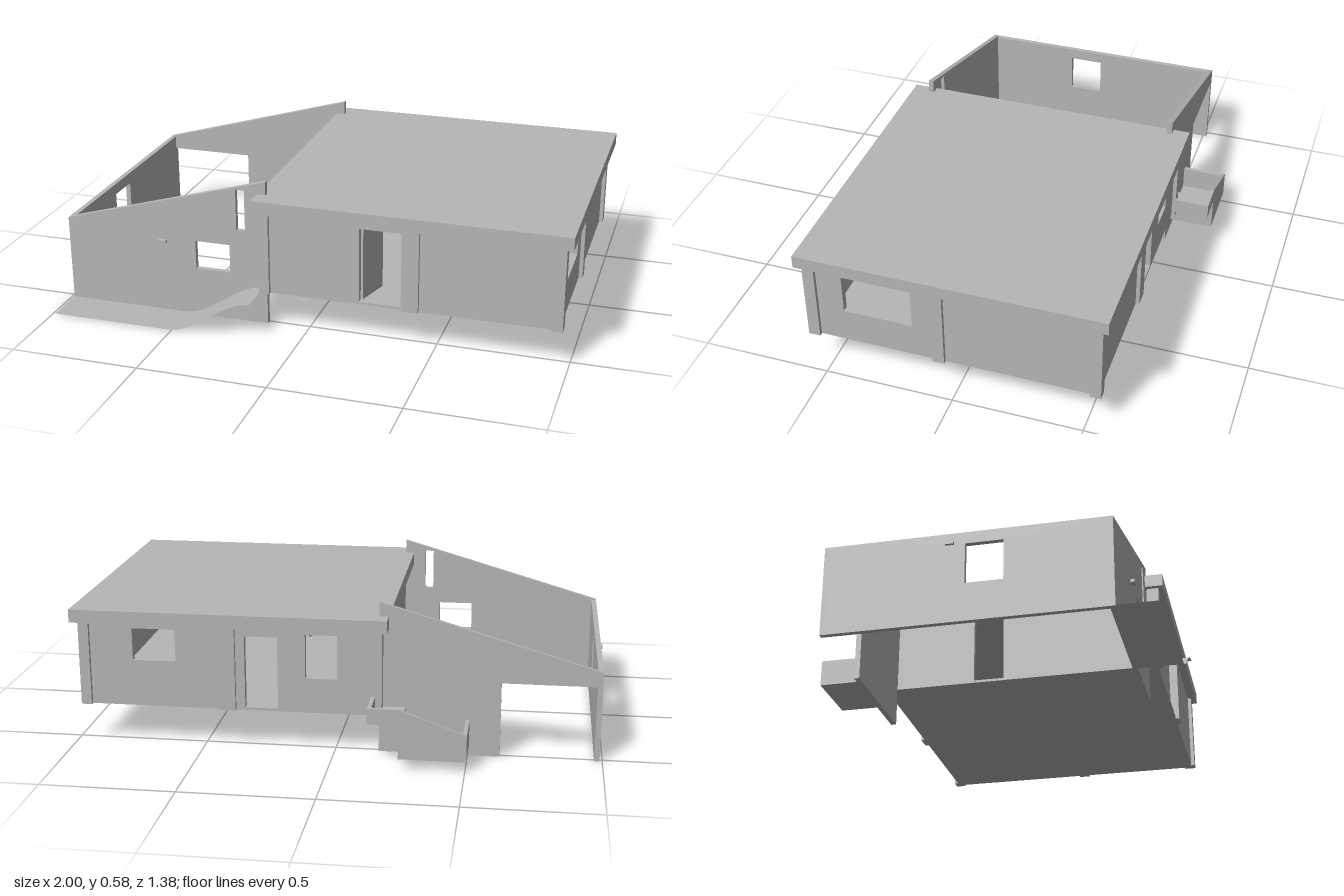
import * as THREE from 'three';

export function createModel() {
  const house = new THREE.Group();
  house.name = 'house';
  const plaster = new THREE.MeshStandardMaterial({ color: 0xb6b6b6 });
  plaster.name = 'grey plaster';
  const sheet = new THREE.MeshStandardMaterial({ color: 0xb6b6b6, side: THREE.DoubleSide });
  sheet.name = 'grey ground';

  const add = (name, geometry, material = plaster) => {
    const mesh = new THREE.Mesh(geometry, material);
    mesh.name = name;
    house.add(mesh);
    return mesh;
  };
  // Box given by its limits on each axis
  const box = (name, x0, x1, y0, y1, z0, z1) => {
    const mesh = add(name, new THREE.BoxGeometry(x1 - x0, y1 - y0, z1 - z0));
    mesh.position.set((x0 + x1) / 2, (y0 + y1) / 2, (z0 + z1) / 2);
    return mesh;
  };
  const rect = (u0, u1, v0, v1) => [[u0, v0], [u1, v0], [u1, v1], [u0, v1]];
  const points = (list) => list.map(([u, v]) => new THREE.Vector2(u, v));
  const panel = (outline, openings, depth) => {
    const shape = new THREE.Shape(points(outline));
    for (const o of openings) shape.holes.push(new THREE.Path(points(rect(...o))));
    return new THREE.ExtrudeGeometry(shape, { depth, bevelEnabled: false });
  };
  // Wall running along x, filling z0..z1
  const wallX = (name, outline, openings, z0, z1) => {
    add(name, panel(outline, openings, z1 - z0)).position.z = z0;
  };
  // Wall running along z, filling x0..x1; outline is in (z, y)
  const wallZ = (name, outline, openings, x0, x1) => {
    const mesh = add(name, panel(outline, openings, x1 - x0));
    mesh.rotation.y = -Math.PI / 2;
    mesh.position.x = x1;
  };

  // Main block: roof, floor and four walls
  const base = 0.15, eave = 0.48;
  box('roofSlab', -0.2, 1, eave, 0.53, -0.58, 0.59);
  box('floorSlab', -0.165, 0.96, base, 0.16, -0.54, 0.555);
  wallX('frontWall', rect(-0.165, 0.96, base, eave), [[0.21, 0.375, 0.155, 0.455]], 0.53, 0.555);
  wallX('backWall', rect(-0.165, 0.96, base, eave), [
    [0.605, 0.77, 0.33, 0.455],
    [0.215, 0.34, 0.155, 0.44],
    [-0.01, 0.11, 0.285, 0.455],
  ], -0.54, -0.515);
  wallZ('sideWall', rect(-0.515, 0.53, base, eave), [[0.16, 0.425, 0.285, 0.455]], 0.935, 0.96);
  wallZ('innerSideWall', rect(-0.515, 0.53, base, eave), [[-0.18, -0.06, 0.155, 0.44]], -0.165, -0.14);

  // Open door leaf, swung inwards
  const leaf = box('doorLeaf', 0.228, 0.238, 0.16, 0.455, 0.39, 0.53);
  leaf.rotation.y = -0.28;

  // Pilasters standing proud of the walls
  for (const [x0, x1] of [[-0.18, -0.14], [0.375, 0.44], [0.935, 0.975]]) {
    box('frontPilaster', x0, x1, base, eave, 0.525, 0.57);
    box('backPilaster', x0, x1, base, eave, -0.555, -0.515);
  }
  box('sidePilaster', 0.94, 0.975, base, eave, 0.035, 0.08);

  // Roofless wing with raking walls
  const low = 0.345, high = 0.583;
  wallX('wingFrontWall', [[-0.99, 0], [-0.165, 0], [-0.165, high], [-0.99, low]], [
    [-0.455, -0.315, 0.195, 0.31],
    [-0.285, -0.25, 0.375, 0.54],
  ], 0.5, 0.52);
  wallX('wingBackWall', [
    [-0.99, 0], [-0.97, 0], [-0.97, 0.29], [-0.62, 0.29],
    [-0.62, 0], [-0.165, 0], [-0.165, high], [-0.99, low],
  ], [], -0.515, -0.495);
  wallZ('wingEndWall', rect(-0.495, 0.5, 0, low), [[0, 0.137, 0.145, 0.3]], -0.99, -0.97);

  // Small wall lamps
  box('frontLamp', -0.605, -0.573, 0.29, 0.302, 0.52, 0.535);
  box('endLamp', -1, -0.99, 0.3, 0.312, -0.07, -0.04);

  // Thin strip of ground that is flat, then climbs to floor level
  const ground = new THREE.PlaneGeometry(0.81, 0.165, 30, 1);
  ground.rotateX(-Math.PI / 2);
  ground.translate(-0.585, 0.002, 0.6025);
  const p = ground.attributes.position;
  for (let i = 0; i < p.count; i++) {
    p.setY(i, 0.002 + 0.148 * THREE.MathUtils.smoothstep(p.getX(i), -0.51, -0.18));
  }
  ground.computeVertexNormals();
  add('groundStrip', ground, sheet);

  // Back steps: raised landing and lower well behind a raking parapet
  box('landingFloor', -0.255, -0.14, 0.17, 0.18, -0.69, -0.515);
  box('landingParapet', -0.155, -0.14, 0.18, 0.23, -0.69, -0.54);
  box('wellFloor', -0.505, -0.255, 0.04, 0.05, -0.69, -0.515);
  box('wellRiser', -0.265, -0.255, 0.05, 0.18, -0.675, -0.515);
  box('wellEnd', -0.505, -0.49, 0.05, 0.14, -0.675, -0.515);
  wallX('stepsParapet', [
    [-0.505, 0.04], [-0.255, 0.04], [-0.255, 0.17], [-0.14, 0.17],
    [-0.14, 0.23], [-0.255, 0.23], [-0.505, 0.14],
  ], [], -0.69, -0.675);

  return house;
}
